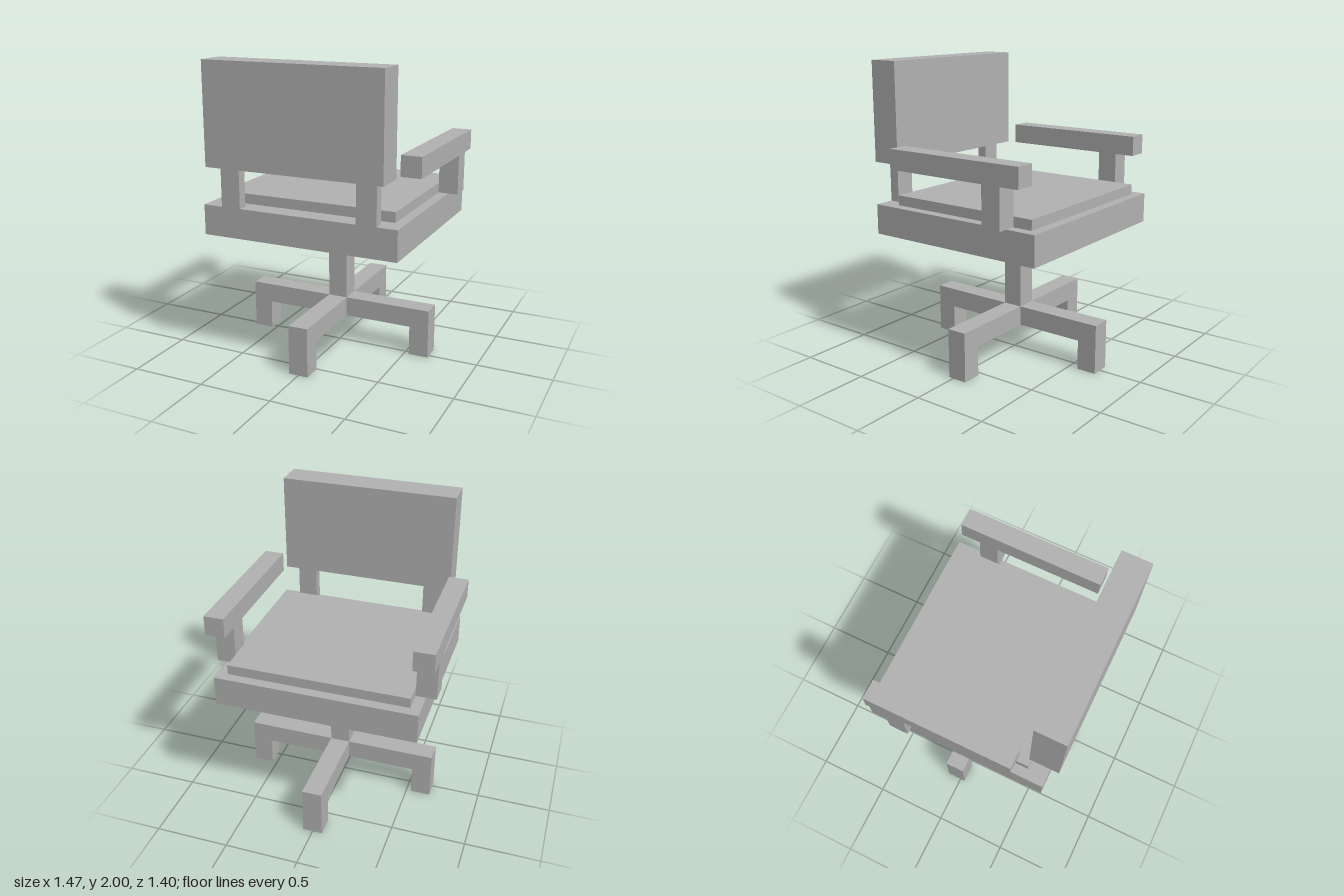
import * as THREE from 'three';

const U = 1 / 15; // the chair is laid out on a grid of 15 steps per unit

export function createModel() {
  const chair = new THREE.Group();
  chair.name = 'officeChair';
  const grey = new THREE.MeshStandardMaterial({ color: 0xb2b2b2 });
  grey.name = 'plainGrey';

  // Block between two limits on each axis, in grid steps
  function block(name, [x0, x1], [y0, y1], [z0, z1], parent = chair) {
    const geometry = new THREE.BoxGeometry((x1 - x0) * U, (y1 - y0) * U, (z1 - z0) * U);
    const mesh = new THREE.Mesh(geometry, grey);
    mesh.name = name;
    mesh.position.set((x0 + x1) * U / 2, (y0 + y1) * U / 2, (z0 + z1) * U / 2);
    parent.add(mesh);
  }

  // Four-armed base: each leg is a horizontal bar with a foot at its end
  const base = new THREE.Group();
  base.name = 'base';
  base.position.z = -0.5 * U;
  chair.add(base);
  block('baseHub', [-1, 1], [3, 5], [-1, 1], base);
  for (let i = 0; i < 4; i++) {
    const leg = new THREE.Group();
    leg.name = 'leg' + (i + 1);
    leg.rotation.y = i * Math.PI / 2;
    base.add(leg);
    block('legBar', [1, 10], [3, 5], [-1, 1], leg);
    block('foot', [8, 10], [0, 3], [-1, 1], leg);
  }

  // Column, seat and backrest
  block('column', [-1, 1], [5, 13], [-1.5, 0.5]);
  block('seat', [-10, 10], [13, 16], [-9.5, 9.5]);
  block('cushion', [-9, 9], [16, 17], [-8.5, 7.5]);
  block('backrest', [-9, 9], [20, 30], [7.5, 10.5]);

  // Mirrored backrest supports and armrests
  for (const [side, s] of [['left', 1], ['right', -1]]) {
    const span = (a, b) => (s > 0 ? [a, b] : [-b, -a]);
    block(side + 'BackSupport', span(6, 8), [16, 20], [8.5, 9.5]);
    block(side + 'ArmPost', span(9, 11), [16, 20], [-6.5, -4.5]);
    block(side + 'Armrest', span(9, 11), [20, 22], [-8.5, 6.5]);
  }
  return chair;
}
